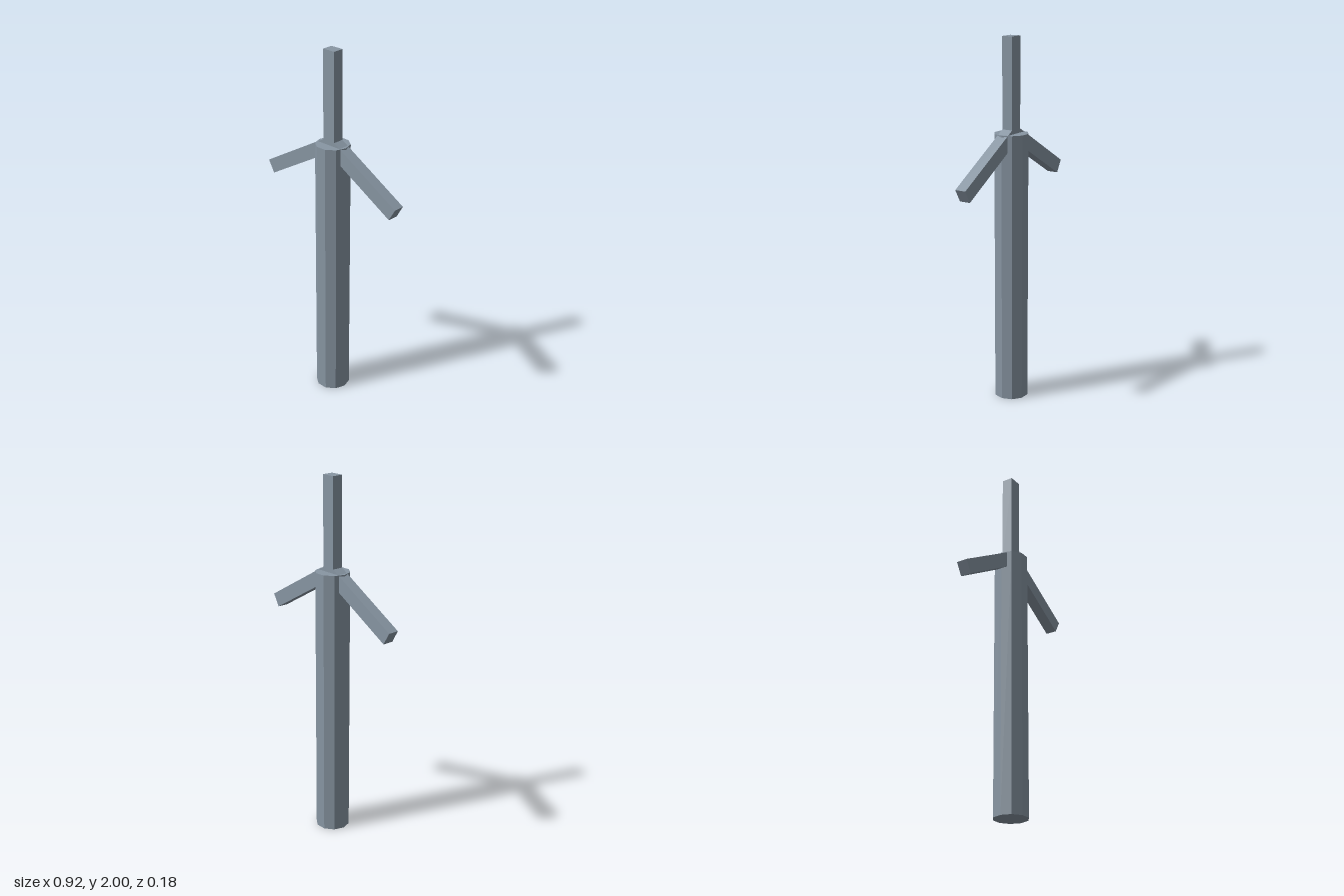
import * as THREE from 'three';

export function createModel() {
  const model = new THREE.Group();
  model.name = 'windTurbine';
  const steel = new THREE.MeshStandardMaterial({ color: 0x8896a3, flatShading: true });
  steel.name = 'steelGrey';

  const hubY = 1.49;
  const bladeLength = 0.51;

  // Ten-sided tower with corners on the x axis
  const towerGeometry = new THREE.CylinderGeometry(0.094, 0.094, hubY, 10, 1, false, Math.PI / 2);
  towerGeometry.translate(0, hubY / 2, 0);
  const tower = new THREE.Mesh(towerGeometry, steel);
  tower.name = 'tower';
  model.add(tower);

  // Three blades radiating from the hub at the tower top
  const bladeGeometry = new THREE.BoxGeometry(0.077, bladeLength, 0.062);
  bladeGeometry.translate(0, bladeLength / 2, 0);
  const rotor = new THREE.Group();
  rotor.name = 'rotor';
  rotor.position.y = hubY;
  ['topBlade', 'rightBlade', 'leftBlade'].forEach((name, i) => {
    const blade = new THREE.Mesh(bladeGeometry, steel);
    blade.name = name;
    blade.rotation.z = (i * Math.PI * 2) / 3;
    rotor.add(blade);
  });
  model.add(rotor);

  return model;
}
